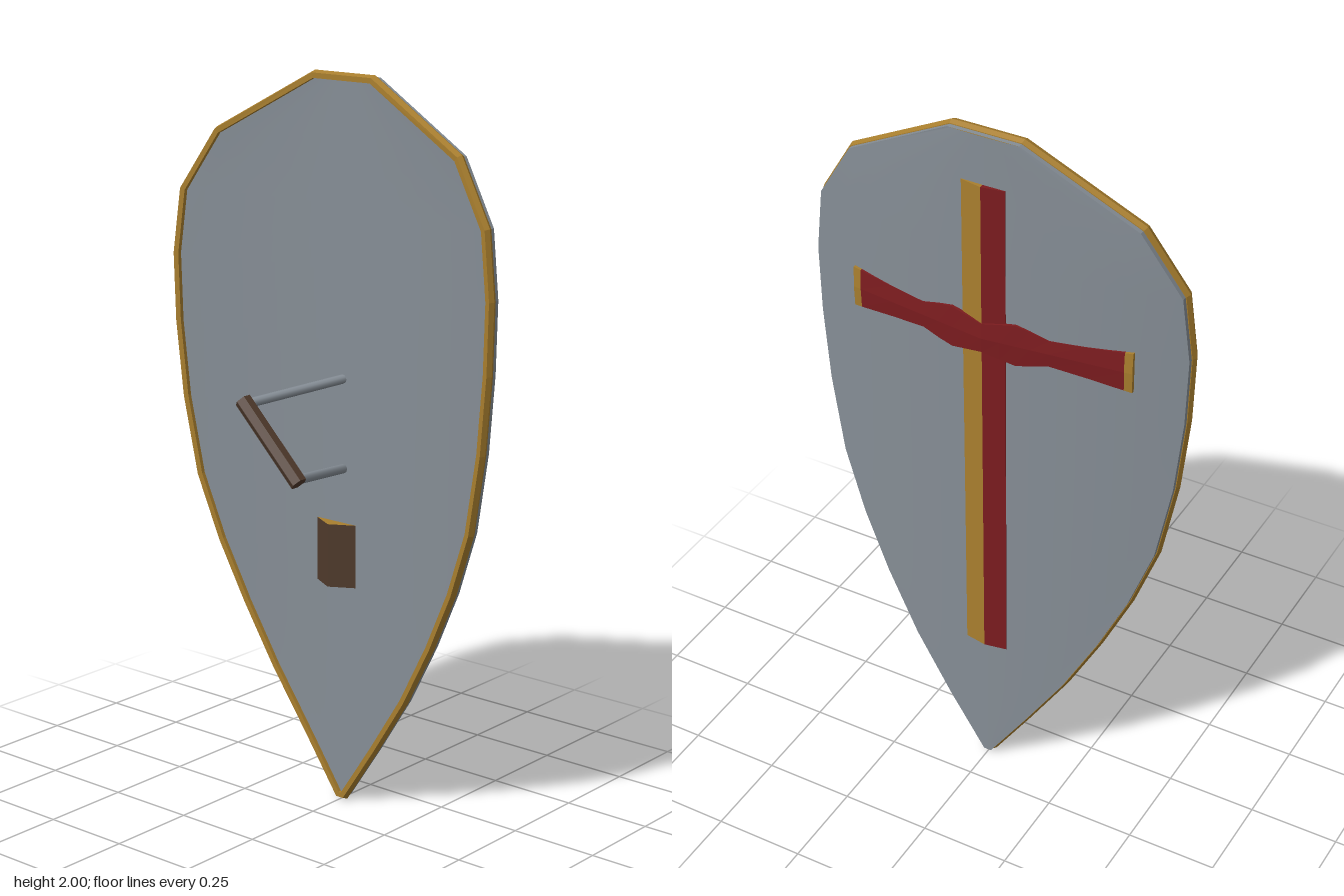
import * as THREE from 'three';

const paint = (name, color) => Object.assign(new THREE.MeshStandardMaterial({ color }), { name });

// Back surface of the curved shield
const curve = (x) => -0.154 + 0.25 * x * x;

// Right half of the outline, bottom to top
const HALF = [[0.015, 0], [0.125, 0.165], [0.235, 0.335], [0.33, 0.51], [0.41, 0.68], [0.475, 0.86],
  [0.515, 1.08], [0.535, 1.29], [0.54, 1.48], [0.518, 1.66], [0.41, 1.83], [0.1, 2]];
const LOOP = [...HALF, ...HALF.map(([x, y]) => [-x, y]).reverse()];

// Outline moved inward by d with mitred corners
function inset(d) {
  const n = LOOP.length;
  const normal = (a, b) => new THREE.Vector2(a[1] - b[1], b[0] - a[0]).normalize();
  return LOOP.map((p, i) => {
    const n1 = normal(LOOP[(i + n - 1) % n], p), n2 = normal(p, LOOP[(i + 1) % n]);
    const k = d / (1 + n1.dot(n2));
    return [p[0] + (n1.x + n2.x) * k, p[1] + (n1.y + n2.y) * k];
  });
}

// Surface through rows of points; faces point along (column direction x row direction)
function grid(rows, smooth = false) {
  const w = rows[0].length, index = [];
  for (let r = 0; r < rows.length - 1; r++) {
    for (let c = 0; c < w - 1; c++) {
      const a = r * w + c, b = a + 1, d = a + w, e = d + 1;
      index.push(a, b, e, a, e, d);
    }
  }
  let g = new THREE.BufferGeometry();
  g.setAttribute('position', new THREE.Float32BufferAttribute(rows.flat(2), 3));
  g.setIndex(index);
  if (!smooth) g = g.toNonIndexed();
  g.computeVertexNormals();
  return g;
}

// Sweeps a section of [inset, depth] pairs around the outline
const sweep = (section) => grid(section.map(([d, z]) => {
  const ring = inset(d).map(([x, y]) => [x, y, curve(x) + z]);
  return [...ring, ring[0]];
}));

// Upright prism from [x, z] corners
function prism(corners, y0, y1) {
  const shape = new THREE.Shape(corners.map(([x, z]) => new THREE.Vector2(x, -z)));
  const g = new THREE.ExtrudeGeometry(shape, { depth: y1 - y0, bevelEnabled: false });
  return g.rotateX(-Math.PI / 2).translate(0, y0, 0);
}

// Straight bar between two points
function bar(from, to, radius, sides, smooth) {
  const a = new THREE.Vector3(...from), b = new THREE.Vector3(...to), dir = b.clone().sub(a);
  let g = new THREE.CylinderGeometry(radius, radius, dir.length(), sides);
  if (!smooth) {
    g = g.toNonIndexed();
    g.computeVertexNormals();
  }
  g.applyQuaternion(new THREE.Quaternion().setFromUnitVectors(new THREE.Vector3(0, 1, 0), dir.normalize()));
  return g.translate(...a.add(b).multiplyScalar(0.5).toArray());
}

// One stretch of the cross arm; columns are [x, half height]
function arm(columns) {
  const mid = 1.425;
  const ridge = (x) => -0.172 + 0.1175 * Math.abs(x);
  const wall = (s) => columns.map(([x, h]) => [x, mid + s * h, curve(x) + 0.005]);
  const edge = (s) => columns.map(([x, h]) => [x, mid + s * h, h ? ridge(x) + 0.003 : curve(x)]);
  const centre = columns.map(([x, h]) => [x, mid, h ? ridge(x) : curve(x)]);
  return grid([wall(1), edge(1), centre, edge(-1), wall(-1)]);
}

export function createModel() {
  const steel = paint('steel', 0x858d95);
  const gold = paint('gold', 0xa87e2e);
  const red = paint('red', 0x7c1c1f);
  const brown = paint('brown', 0x503a2c);

  const model = new THREE.Group();
  model.name = 'shield';
  const add = (name, geometry, material, parent = model) => {
    const mesh = new THREE.Mesh(geometry, material);
    mesh.name = name;
    parent.add(mesh);
  };
  const group = (name) => {
    const g = new THREE.Group();
    g.name = name;
    model.add(g);
    return g;
  };

  // Curved plate: front, back and edge
  const plate = group('plate');
  const side = inset(0.008).slice(0, HALF.length);
  const face = (z) => side.map(([w, y]) => Array.from({ length: 17 }, (_, i) => {
    const x = w * (i / 8 - 1);
    return [x, y, curve(x) + z];
  }));
  add('plateFront', grid(face(0.03), true), steel, plate);
  add('plateBack', grid(face(0).reverse(), true), steel, plate);
  add('plateEdge', sweep([[0.008, 0], [0.008, 0.03]]), steel, plate);

  // Bevelled rim
  add('rim', sweep([[0.006, 0.013], [0, 0.025], [0.006, 0.041], [0.02, 0.041], [0.02, 0.013], [0.006, 0.013]]), gold);

  // Ridged cross on the back, its upright half gold and half red
  const cross = group('cross');
  add('uprightGold', prism([[0, -0.148], [0.06, -0.148], [0.06, -0.155], [0, -0.166]], 0.41, 1.86), gold, cross);
  add('uprightRed', prism([[0, -0.148], [-0.062, -0.148], [-0.062, -0.155], [0, -0.166]], 0.41, 1.86), red, cross);
  const half = [[0.05, 0.052], [0.09, 0.06], [0.13, 0.052], [0.18, 0.038], [0.28, 0.046], [0.378, 0.056]];
  const mirror = (list) => list.map(([x, h]) => [-x, h]).reverse();
  add('crossArm', arm([...mirror(half), [0, 0.042], ...half]), red, cross);
  const tip = [[0.378, 0.056], [0.4, 0.058], [0.4, 0]];
  add('armTipLeft', arm(tip), gold, cross);
  add('armTipRight', arm(mirror(tip)), gold, cross);

  // Slanted grip on two rods
  const handle = group('handle');
  add('grip', bar([-0.112, 1.168, 0.15], [0.08, 0.976, 0.15], 0.023, 6, false), brown, handle);
  add('upperRod', bar([-0.098, 1.16, 0.14], [0, 1.192, -0.13], 0.0125, 10, true), steel, handle);
  add('lowerRod', bar([0.068, 0.983, 0.14], [0, 0.945, -0.13], 0.0125, 10, true), steel, handle);

  // Wedge-shaped arm pad
  add('armPad', prism([[-0.067, -0.097], [0, -0.06], [0.067, -0.097]], 0.63, 0.805), [gold, brown]);

  return model;
}
